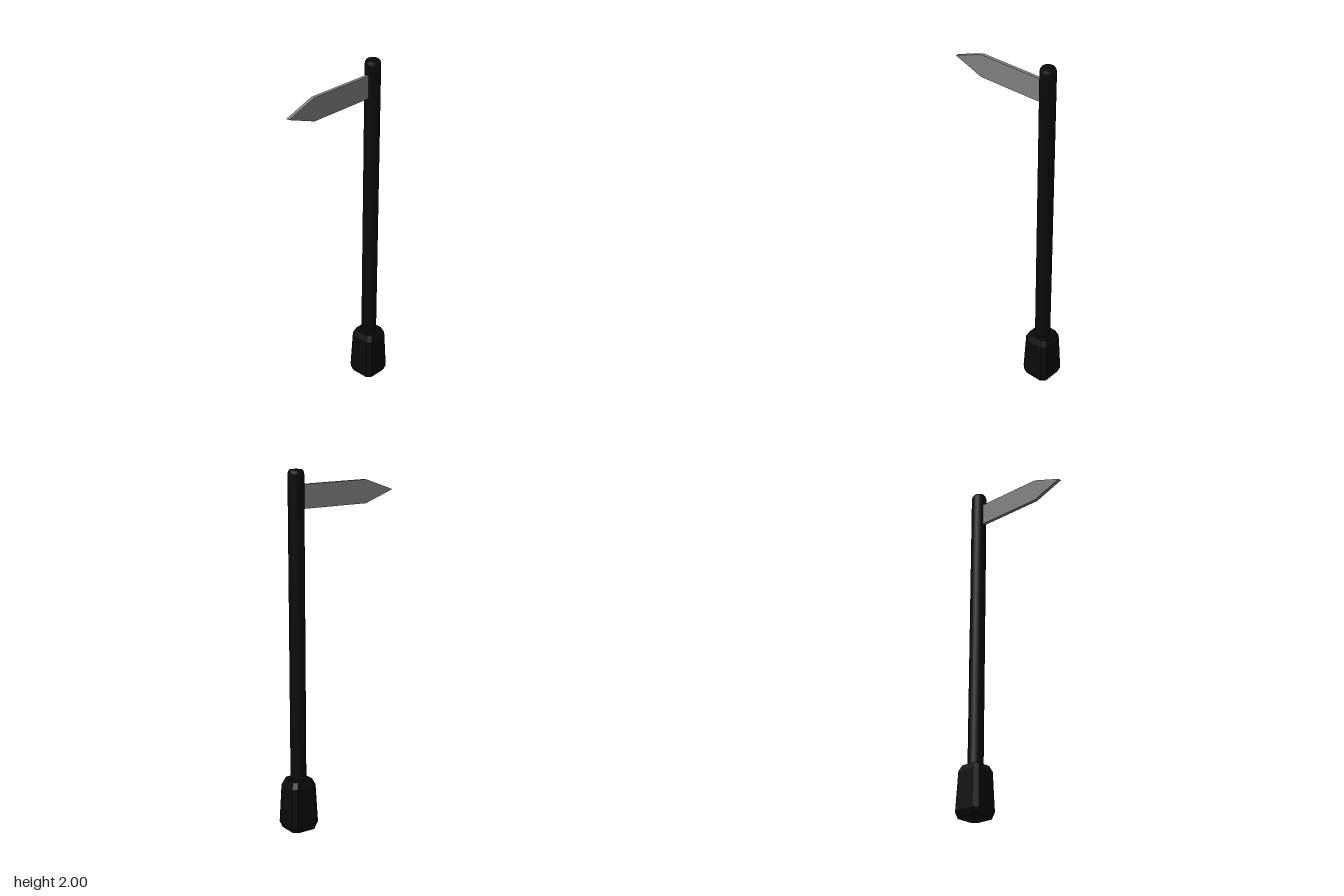
import * as THREE from 'three';

const POST_Z = -0.272;

// Chamfered square outline: half width h, corner cut c, at height y
function ring(h, c, y) {
  const k = h - c;
  return [[k, h], [h, k], [h, -k], [k, -h], [-k, -h], [-h, -k], [-h, k], [-k, h]]
    .map(([x, z]) => [x, y, z]);
}

// Skin a stack of rings (bottom to top) and cap both ends
function loft(rings) {
  const pos = [];
  const n = rings[0].length;
  const tri = (a, b, c) => pos.push(...a, ...b, ...c);
  for (let r = 0; r < rings.length - 1; r++) {
    for (let i = 0; i < n; i++) {
      const j = (i + 1) % n;
      const a = rings[r][i], b = rings[r][j], c = rings[r + 1][j], d = rings[r + 1][i];
      tri(a, b, c);
      tri(a, c, d);
    }
  }
  const low = rings[0], top = rings[rings.length - 1];
  for (let i = 1; i < n - 1; i++) {
    tri(low[0], low[i + 1], low[i]);
    tri(top[0], top[i], top[i + 1]);
  }
  const g = new THREE.BufferGeometry();
  g.setAttribute('position', new THREE.Float32BufferAttribute(pos, 3));
  g.computeVertexNormals();
  return g;
}

export function createModel() {
  const model = new THREE.Group();
  const black = new THREE.MeshStandardMaterial({ color: 0x0a0a0a });
  const blackFlat = new THREE.MeshStandardMaterial({ color: 0x0a0a0a, flatShading: true });
  const grey = new THREE.MeshStandardMaterial({ color: 0x808080 });

  const add = (name, geometry, material, x, y, z) => {
    const mesh = new THREE.Mesh(geometry, material);
    mesh.name = name;
    mesh.position.set(x, y, z);
    model.add(mesh);
    return mesh;
  };

  // Tapered foot with bevelled edges
  add('base', loft([
    ring(0.075, 0.022, 0),
    ring(0.088, 0.026, 0.035),
    ring(0.078, 0.024, 0.255),
    ring(0.062, 0.02, 0.29),
  ]), blackFlat, 0, 0, POST_Z);

  // Round post with a softened top edge
  const profile = [[0, 0.2], [0.044, 0.2], [0.044, 1.975], [0.041, 1.99], [0.034, 2], [0, 2]]
    .map(([r, y]) => new THREE.Vector2(r, y));
  add('post', new THREE.LatheGeometry(profile, 24), black, 0, 0, POST_Z);

  // Pointed direction board, drawn along its length and turned to face +z
  const outline = new THREE.Shape();
  outline.moveTo(0.26, -0.065);
  outline.lineTo(0.26, 0.065);
  outline.lineTo(-0.178, 0.065);
  outline.lineTo(-0.358, 0);
  outline.lineTo(-0.178, -0.065);
  outline.closePath();
  const board = new THREE.ExtrudeGeometry(outline, { depth: 0.02, bevelEnabled: false });
  board.translate(0, 0, -0.01);
  board.rotateY(Math.PI / 2);
  add('signBoard', board, grey, 0, 1.856, 0);

  return model;
}
